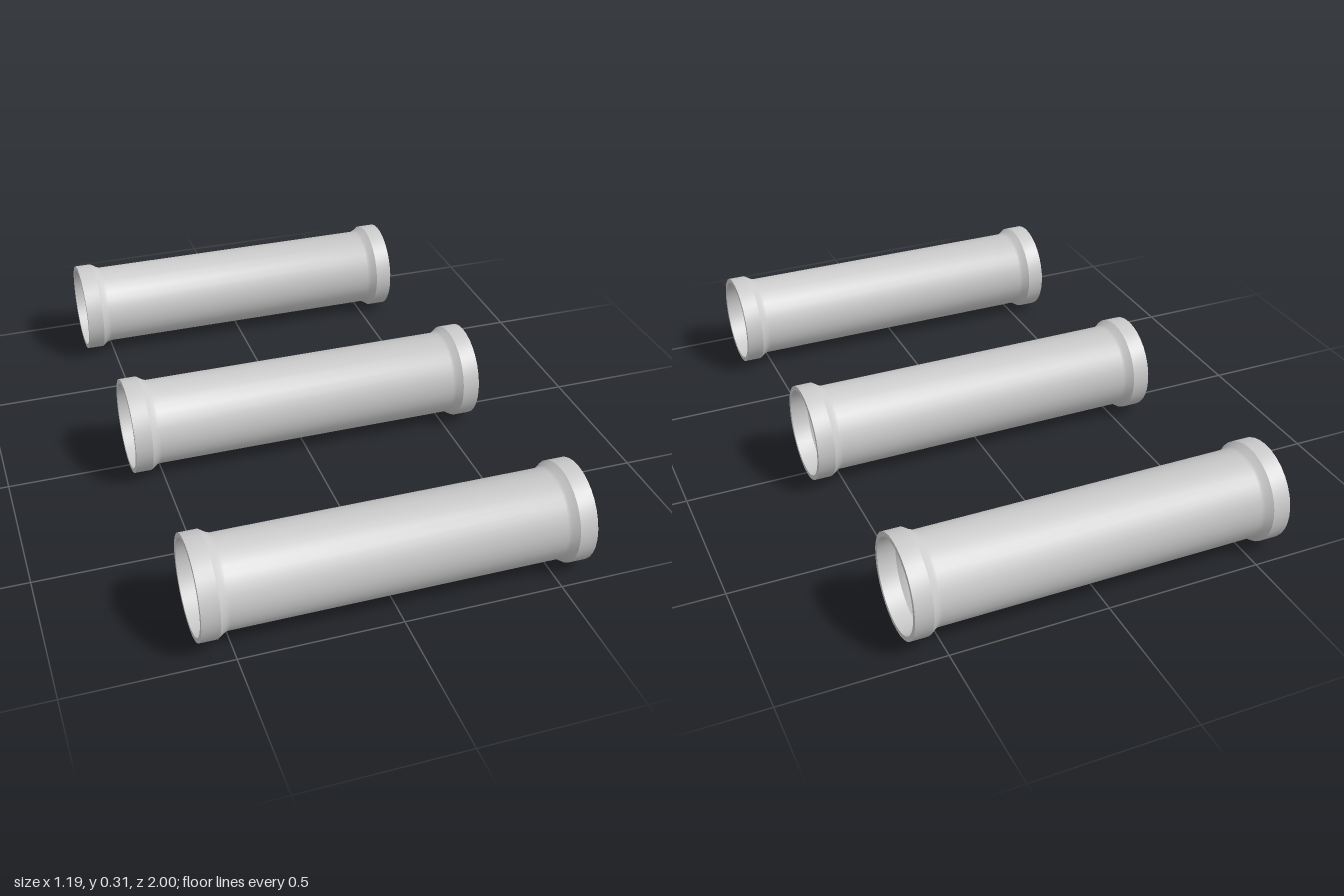
import * as THREE from 'three';
import { toCreasedNormals } from 'three/addons/utils/BufferGeometryUtils.js';

const OUTER = 0.157;   // collar radius
const WALL = 0.015;    // wall thickness
const SPACING = 0.843; // distance between pipe axes

// Half of the outer profile, from the middle to the open end: [radius, distance along axis]
const half = [[0.14, 0.51], [0.144, 0.521], [OUTER, 0.541], [OUTER, 0.597]];

function pipeGeometry() {
  const outside = [
    ...half.map(([r, d]) => [r, -d]).reverse(),
    ...half,
  ];
  // The bore follows the outside at a constant wall thickness
  const bore = outside.map(([r, d]) => [r - WALL, d]).reverse();
  const profile = [...outside, ...bore, outside[0]].map(([r, d]) => new THREE.Vector2(r, d));
  const geometry = new THREE.LatheGeometry(profile, 32);
  geometry.rotateZ(-Math.PI / 2);
  return toCreasedNormals(geometry, 0.4);
}

export function createModel() {
  const group = new THREE.Group();
  group.name = 'pipes';
  const material = new THREE.MeshStandardMaterial({ color: 0xcccccc });
  const geometry = pipeGeometry();

  // Three parallel pipes lying on the ground
  ['backPipe', 'middlePipe', 'frontPipe'].forEach((name, i) => {
    const pipe = new THREE.Mesh(geometry, material);
    pipe.name = name;
    pipe.position.set(0, OUTER, (i - 1) * SPACING);
    group.add(pipe);
  });
  return group;
}
